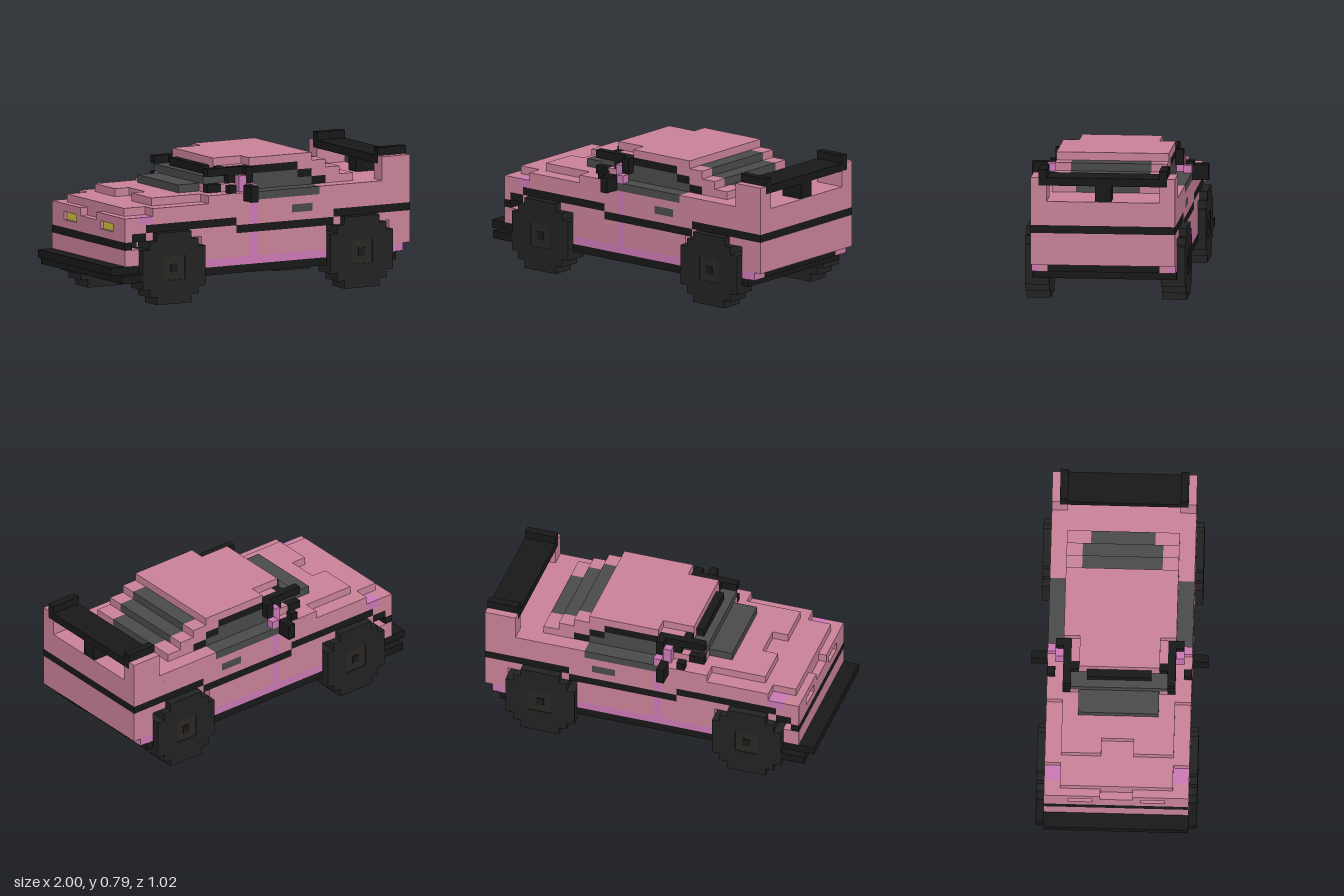
import * as THREE from 'three';

const U = 2 / 43; // one block; x counted from the nose, y from the ground, z from the centre line
const mat = (color) => new THREE.MeshStandardMaterial({ color, flatShading: true });
const PINK = mat(0xc98298), BLACK = mat(0x181818), MAUVE = mat(0xcb78b4), GLASS = mat(0x4a4a4a);
const TYRE = mat(0x222222), RIM = mat(0x2a2724), HUB = mat(0x1a1a1a), YELLOW = mat(0xd2c338);

export function createModel() {
  const car = new THREE.Group();
  car.name = 'car';

  const box = (name, m, x0, x1, y0, y1, z0, z1) => {
    const mesh = new THREE.Mesh(new THREE.BoxGeometry((x1 - x0) * U, (y1 - y0) * U, (z1 - z0) * U), m);
    mesh.position.set((x0 + x1) / 2 * U - 1, (y0 + y1) / 2 * U, (z0 + z1) / 2 * U);
    mesh.name = name;
    car.add(mesh);
  };
  // Box across the centre line, and a box repeated on both sides
  const mid = (name, m, x0, x1, y0, y1, w) => box(name, m, x0, x1, y0, y1, -w, w);
  const pair = (name, m, x0, x1, y0, y1, z0, z1) => {
    box(name + 'Left', m, x0, x1, y0, y1, z0, z1);
    box(name + 'Right', m, x0, x1, y0, y1, -z1, -z0);
  };
  // Strip of differently coloured runs along both sides: start, then [end, material]
  const row = (name, y0, y1, z0, z1, start, runs) => {
    let x = start;
    for (const [end, m] of runs) {
      if (m) pair(name, m, x, end, y0, y1, z0, z1);
      x = end;
    }
  };

  // Floor and front bumper
  mid('floor', BLACK, 4, 41, 3, 4, 9);
  mid('bumperLower', BLACK, 1, 4, 3, 4, 10);
  mid('bumperUpper', BLACK, 0, 4, 4, 5, 9);
  mid('rearValance', BLACK, 40, 42, 4, 5, 7);
  pair('rearCorner', PINK, 40, 42, 4, 5, 7, 8);
  pair('rearCornerTrim', MAUVE, 40, 42, 4, 5, 8, 9);

  // Nose with trim line and recessed headlights
  mid('noseLower', PINK, 2, 4, 5, 7, 9);
  mid('noseTrim', BLACK, 2, 3, 7, 8, 9);
  mid('noseMiddle', PINK, 2, 3, 8, 9, 9);
  pair('headlight', YELLOW, 2.4, 3, 9, 10, 3, 6);
  mid('noseCentre', PINK, 2, 3, 9, 10, 3);
  pair('noseOuter', PINK, 2, 3, 9, 10, 6, 9);
  pair('noseTop', PINK, 2, 3, 10, 11, 2, 9);

  // Lower sides, open behind the wheels
  row('sill', 4, 5, 8, 9, 13, [[31, MAUVE]]);
  row('doorPanel', 5, 8, 8, 9, 13, [[20, PINK], [21, MAUVE], [31, PINK]]);
  row('archTop', 8, 9, 8, 9, 3, [[5, BLACK], [18, PINK], [32, BLACK], [40, PINK]]);
  mid('rearPanel', PINK, 40, 43, 5, 9, 9);

  // Upper body in layers
  mid('waistCore', PINK, 3, 42, 9, 10, 8);
  row('waistTrim', 9, 10, 8, 9, 3, [[5, PINK], [18, BLACK], [20, PINK], [21, MAUVE], [32, PINK], [42, BLACK]]);
  mid('rearTrim', BLACK, 42, 43, 9, 10, 9);
  mid('bodyCore', PINK, 3, 43, 10, 12, 7);
  row('bodySide', 10, 11, 7, 9, 3,
    [[4, PINK], [6, MAUVE], [20, PINK], [21, MAUVE], [26, PINK], [29, GLASS], [43, PINK]]);
  row('shoulder', 11, 12, 7, 9, 6, [[20, PINK], [21, MAUVE], [43, PINK]]);
  mid('deck', PINK, 9, 43, 12, 13, 7);
  pair('hoodBulge', PINK, 7, 9, 12, 13, 2, 7);
  row('windowSill', 12, 13, 7, 9, 14, [[20, PINK], [30, GLASS], [43, PINK]]);

  // Windscreen
  mid('windscreenLower', GLASS, 12, 15, 13, 14, 5);
  mid('windscreenUpper', GLASS, 15, 18, 14, 15, 6);
  mid('windscreenBase', PINK, 15, 18, 13, 14, 6);
  mid('windscreenFrame', BLACK, 16, 17, 15, 16, 4);
  pair('windscreenCorner', BLACK, 17, 18, 15, 16, 5, 6);

  // Cabin core, side windows with stepped frame, rear window
  mid('cabinLower', PINK, 18, 34, 13, 14, 6);
  mid('cabinMiddle', PINK, 18, 32, 14, 15, 6);
  mid('cabinUpper', PINK, 17, 30, 15, 16, 5);
  pair('cabinUpperSide', PINK, 18, 30, 15, 16, 5, 6);
  row('windowLower', 13, 14, 6, 7, 15, [[17, BLACK], [19, PINK], [20, BLACK], [30, GLASS], [32, BLACK], [34, PINK]]);
  row('windowMiddle', 14, 15, 6, 7, 15, [[18, null], [20, BLACK], [28, GLASS], [30, BLACK], [32, PINK]]);
  row('windowUpper', 15, 16, 6, 7, 15, [[28, BLACK], [30, PINK]]);
  [[34, 13, 4], [32, 14, 5], [30, 15, 5]].forEach(([x, y, w]) => {
    mid('rearWindow', GLASS, x, x + 2, y, y + 1, w);
    pair('rearPillar', PINK, x, x + 2, y, y + 1, w, 7);
  });
  mid('roofFront', PINK, 17, 21, 16, 17, 5);
  mid('roof', PINK, 21, 30, 16, 17, 7);

  // Door mirrors
  pair('mirror', BLACK, 19, 20, 12, 14, 9, 11);
  pair('mirrorFoot', BLACK, 17, 18, 13, 14, 8, 9);
  pair('mirrorStem', MAUVE, 19, 20, 13, 15, 7, 8);
  pair('mirrorTip', MAUVE, 20, 21, 13, 14, 8, 9);
  pair('mirrorBracket', BLACK, 20, 21, 14, 16, 7, 8);

  // Rear fins and spoiler
  pair('finLower', PINK, 39, 43, 13, 15, 7, 9);
  pair('finUpper', PINK, 39, 43, 15, 16, 8, 9);
  mid('spoilerPlate', BLACK, 39, 43, 15, 16, 8);
  pair('spoilerEnd', BLACK, 39, 43, 16, 17, 7, 8);
  mid('spoilerSupport', BLACK, 40, 43, 13, 15, 1);

  // Stepped wheels with rim and hub
  for (const c of [8.5, 35.5]) {
    for (const [y0, y1, w] of [[0, 1, 2.5], [1, 2, 3.5], [2, 3, 4.5], [6, 7, 4.5], [7, 8, 3.5], [8, 9, 2.5]])
      pair('tyre', TYRE, c - w, c + w, y0, y1, 7, 10);
    for (const s of [-1, 1])
      pair('tyreSide', TYRE, c + s * 3 - 1.5, c + s * 3 + 1.5, 3, 6, 7, 10);
    pair('rim', RIM, c - 1.5, c + 1.5, 3, 6, 7, 9.9);
    pair('hub', HUB, c - 0.5, c + 0.5, 4, 5, 9, 10);
  }
  return car;
}
